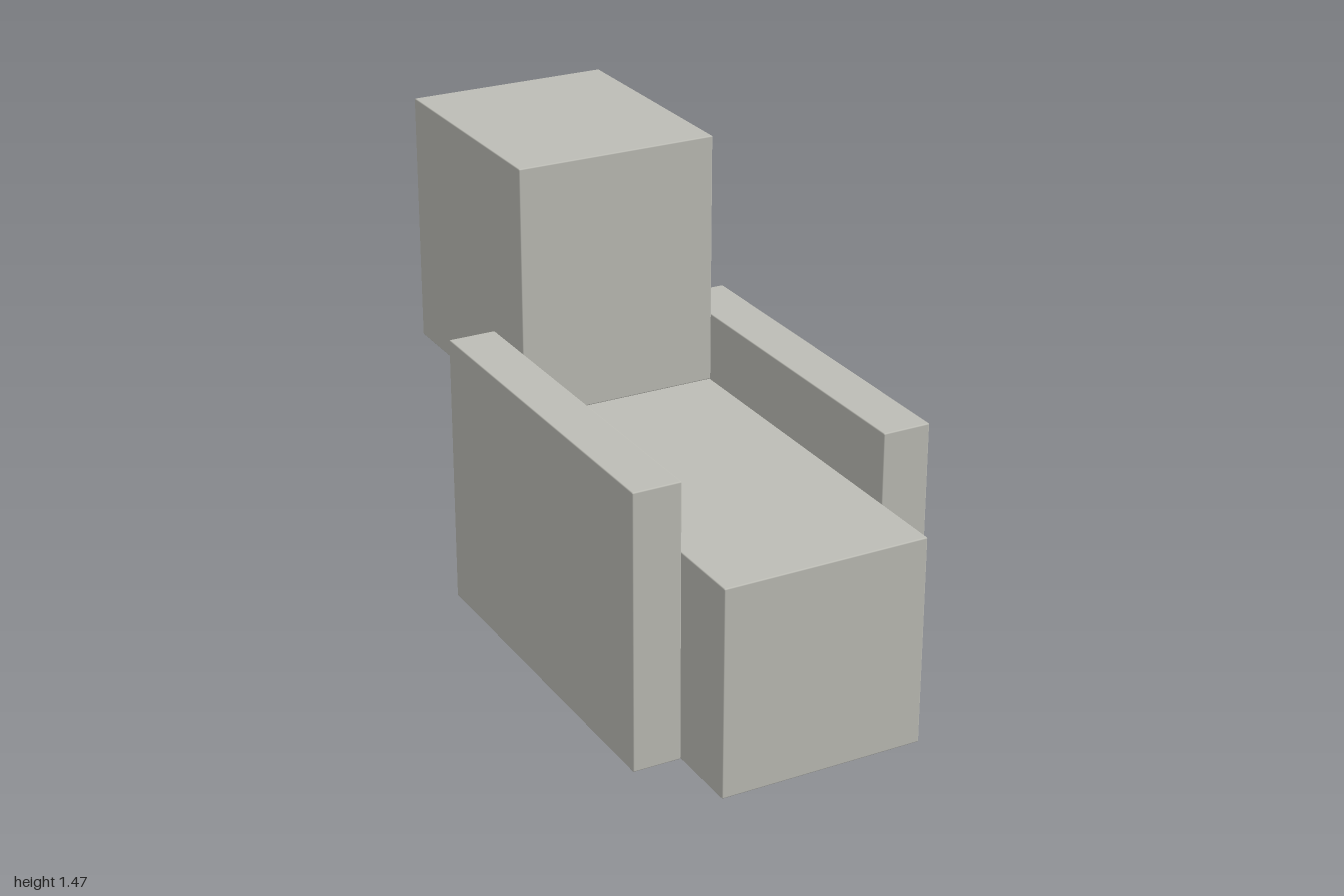
import * as THREE from 'three';
import { RoundedBoxGeometry } from 'three/addons/geometries/RoundedBoxGeometry.js';

export function createModel() {
  const group = new THREE.Group();
  const stone = new THREE.MeshStandardMaterial({ color: 0xbdbdb6 });
  stone.name = 'warmGrey';

  // Softly edged block given by its min and max corners
  function block(name, [x0, y0, z0], [x1, y1, z1]) {
    const geometry = new RoundedBoxGeometry(x1 - x0, y1 - y0, z1 - z0, 2, 0.004);
    const mesh = new THREE.Mesh(geometry, stone);
    mesh.name = name;
    mesh.position.set((x0 + x1) / 2, (y0 + y1) / 2, (z0 + z1) / 2);
    group.add(mesh);
  }

  block('seat', [-0.325, 0, -0.5], [0.325, 0.661, 1]);
  block('backrest', [-0.325, 0.661, -1], [0.325, 1.465, -0.24]);

  // Armrests on both sides
  block('leftArmrest', [0.325, 0, -0.44], [0.478, 0.88, 0.76]);
  block('rightArmrest', [-0.478, 0, -0.44], [-0.325, 0.88, 0.76]);

  return group;
}
